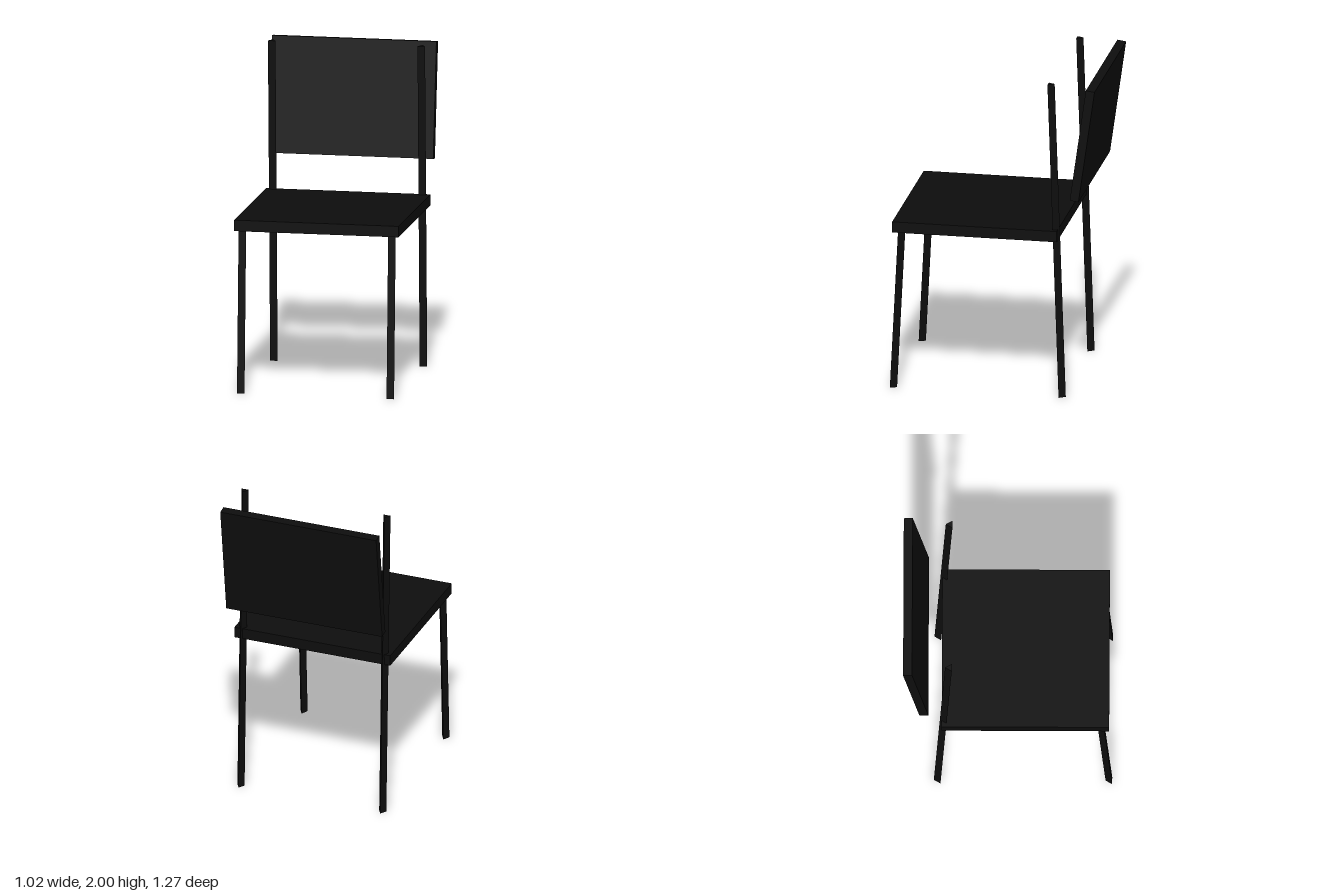
import * as THREE from 'three';

export function createModel() {
  const model = new THREE.Group();
  model.name = 'chair';
  const black = new THREE.MeshStandardMaterial({ color: 0x0d0d0d });
  black.name = 'black';

  const add = (name, geometry, x, y, z, tilt = 0) => {
    const mesh = new THREE.Mesh(geometry, black);
    mesh.name = name;
    mesh.position.set(x, y, z);
    mesh.rotation.x = tilt;
    model.add(mesh);
  };

  // Three-sided bar with its flat side to the front, leaning from z0 (bottom) to z1 (top)
  const bar = (name, x, height, z0, z1) => {
    const length = Math.hypot(height, z1 - z0);
    const geometry = new THREE.CylinderGeometry(0.027, 0.027, length, 3, 1, false, Math.PI).toNonIndexed();
    geometry.computeVertexNormals();
    add(name, geometry, x, height / 2, (z0 + z1) / 2, Math.atan2(z1 - z0, height));
  };

  // Seat slab
  add('seat', new THREE.BoxGeometry(1.02, 0.068, 1.02), 0, 1.037, 0.108);

  // Backrest panel, leaning back behind the posts
  add('backrest', new THREE.BoxGeometry(1.02, 0.717, 0.0545), 0, 1.626, -0.56, -THREE.MathUtils.degToRad(8));

  // Short front legs and full-height rear posts
  for (const [side, x] of [['left', 0.464], ['right', -0.464]]) {
    bar(`${side}FrontLeg`, x, 1.01, 0.623, 0.572);
    bar(`${side}RearPost`, x, 2, -0.423, -0.354);
  }
  return model;
}
